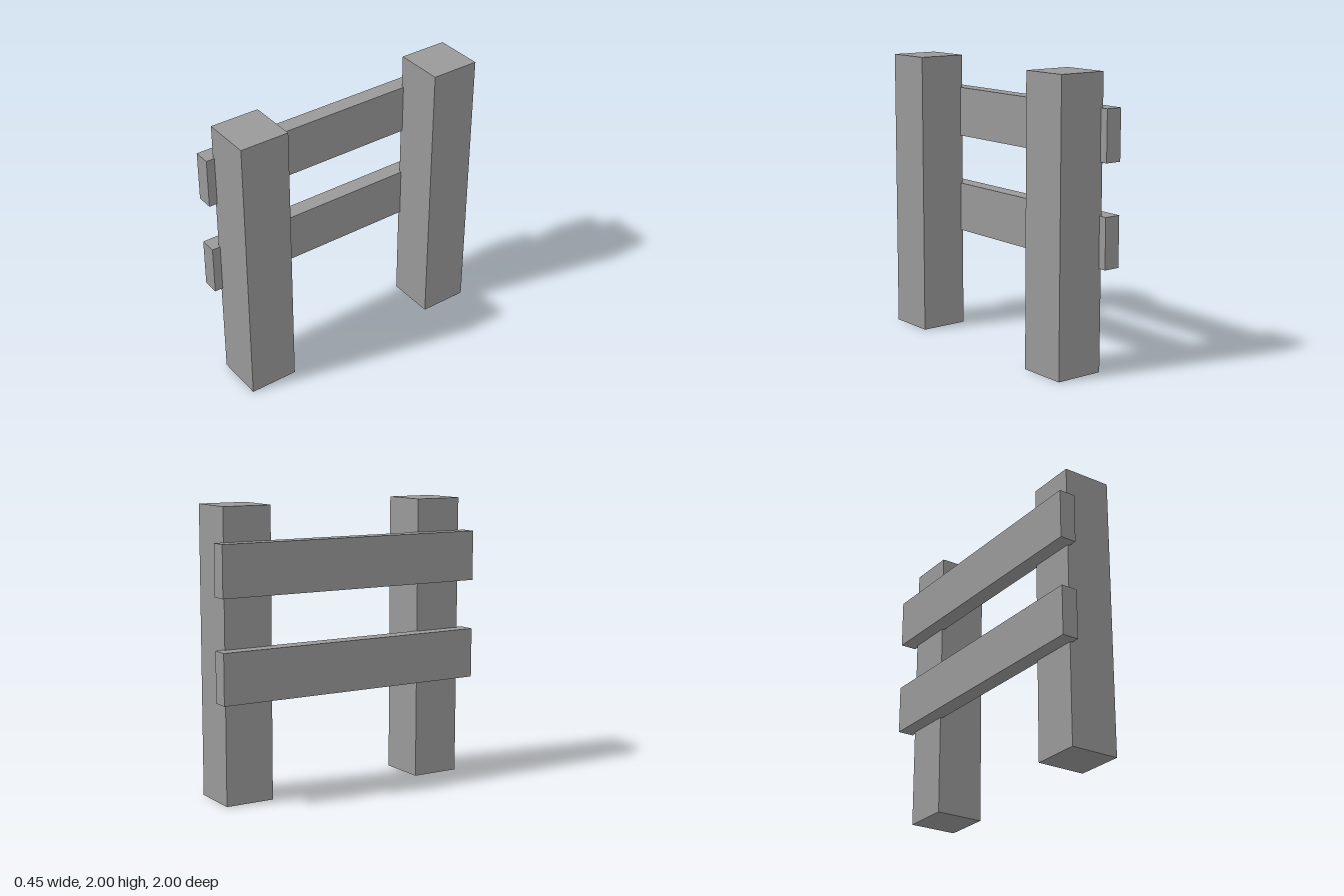
import * as THREE from 'three';

const material = new THREE.MeshStandardMaterial({ color: 0x999999, flatShading: true });

function addBox(group, name, [w, h, d], [x, y, z]) {
  const mesh = new THREE.Mesh(new THREE.BoxGeometry(w, h, d), material);
  mesh.name = name;
  mesh.position.set(x, y, z);
  group.add(mesh);
}

export function createModel() {
  const fence = new THREE.Group();
  fence.name = 'fence';

  // Two square posts
  for (const [name, side] of [['frontPost', 1], ['backPost', -1]]) {
    addBox(fence, name, [0.35, 2, 0.35], [0.05, 1, side * 0.765]);
  }

  // Two planks, let slightly into the posts
  for (const [name, y] of [['lowerRail', 0.885], ['upperRail', 1.59]]) {
    addBox(fence, name, [0.118, 0.352, 2], [-0.167, y, 0]);
  }

  return fence;
}
